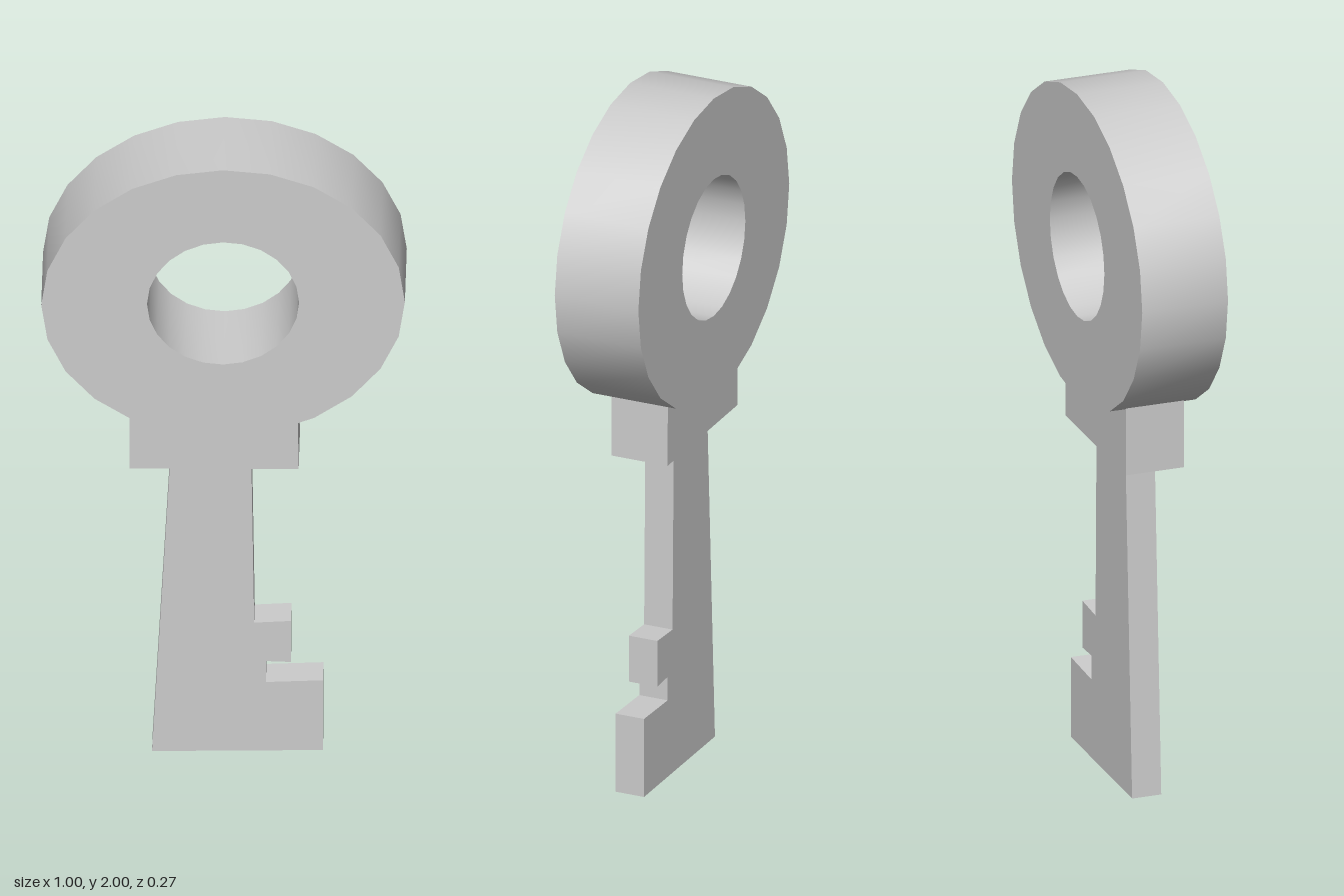
import * as THREE from 'three';
import { toCreasedNormals } from 'three/addons/utils/BufferGeometryUtils.js';

// Points of a faceted oval centred on the bow
function oval(rx, ry, sides = 24) {
  const points = [];
  for (let i = 0; i < sides; i++) {
    const a = (i / sides) * Math.PI * 2;
    points.push(new THREE.Vector2(rx * Math.cos(a), ry * Math.sin(a) + 0.025 * Math.cos(a) * rx));
  }
  return points;
}

export function createModel() {
  const key = new THREE.Group();
  key.name = 'key';
  const material = new THREE.MeshStandardMaterial({ color: 0xcccccc });

  // Extrudes a flat outline, centred in depth on z
  function addPlate(name, shape, depth, y = 0, z = 0) {
    const geometry = new THREE.ExtrudeGeometry(shape, { depth, bevelEnabled: false });
    geometry.translate(0, y, z - depth / 2);
    const mesh = new THREE.Mesh(toCreasedNormals(geometry, 0.5), material);
    mesh.name = name;
    key.add(mesh);
  }
  const outline = (pairs) => new THREE.Shape(pairs.map(([x, y]) => new THREE.Vector2(x, y)));

  // Ring-shaped bow with a round hole
  const ring = new THREE.Shape(oval(0.495, 0.445));
  ring.holes.push(new THREE.Path(oval(0.207, 0.204).reverse()));
  addPlate('bow', ring, 0.25, 1.555);

  // Collar block, its top sunk into the bow
  addPlate('collar', outline([
    [-0.255, 0.973], [0.205, 0.979], [0.202, 1.2], [-0.255, 1.2],
  ]), 0.168, 0, 0.004);

  // Tapered blade with two teeth
  addPlate('blade', outline([
    [-0.195, 0], [0.27, 0.01], [0.27, 0.243], [0.115, 0.235], [0.115, 0.305],
    [0.183, 0.303], [0.183, 0.44], [0.083, 0.433], [0.075, 1.0], [-0.144, 1.0],
  ]), 0.085, 0, 0.003);

  // The whole key is turned very slightly
  key.rotation.y = 0.025;
  return key;
}
